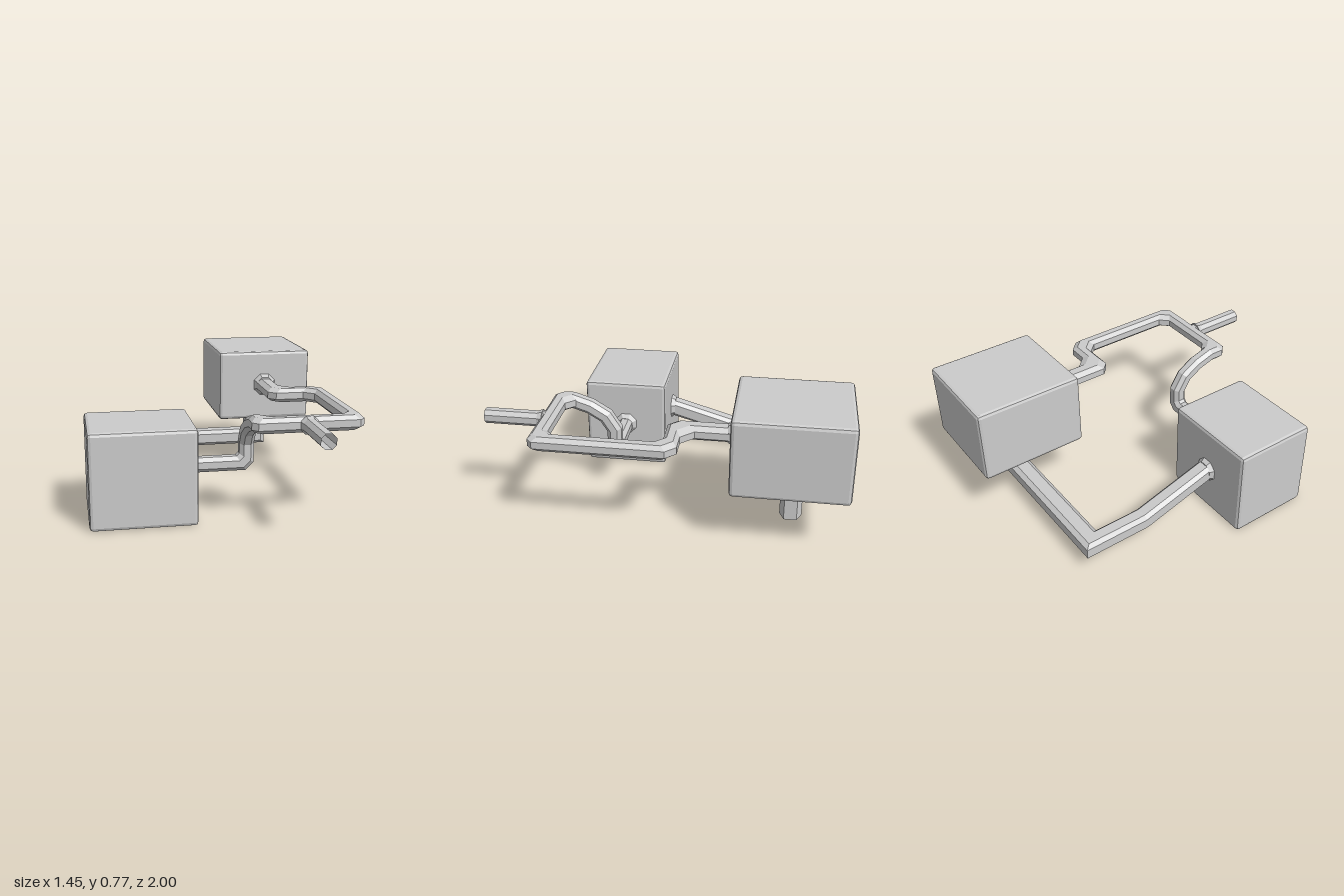
import * as THREE from 'three';
import { RoundedBoxGeometry } from 'three/addons/geometries/RoundedBoxGeometry.js';

const V = (x, y, z) => new THREE.Vector3(x, y, z);
const material = new THREE.MeshStandardMaterial({ color: 0xcccccc, flatShading: true });
const openMaterial = material.clone();
openMaterial.side = THREE.DoubleSide;

// Square section with cut corners, swept along straight runs. Each joint is a
// plane { p, n }; the section slides along each run until it meets the plane.
function sweep(joints, width, chamfer) {
  const h = width / 2, c = h - chamfer;
  const section = [[h, -c], [h, c], [c, h], [-c, h], [-h, c], [-h, -c], [-c, -h], [c, -h]];
  const dirs = joints.slice(1).map((j, i) => j.p.clone().sub(joints[i].p).normalize());
  const up = Math.abs(dirs[0].y) > 0.9 ? V(1, 0, 0) : V(0, 1, 0);
  const u = up.cross(dirs[0]).normalize(), v = dirs[0].clone().cross(u);
  let ring = section.map(([a, b]) => joints[0].p.clone().addScaledVector(u, a).addScaledVector(v, b));
  const positions = [], index = [];
  joints.forEach((j, i) => {
    if (i > 0) {
      const d = dirs[i - 1], n = j.n || d.clone().add(dirs[i] || d);
      ring = ring.map(q => q.clone().addScaledVector(d, j.p.clone().sub(q).dot(n) / d.dot(n)));
    }
    ring.forEach(q => positions.push(q.x, q.y, q.z));
    if (i === 0) return;
    for (let k = 0; k < 8; k++) {
      const a = (i - 1) * 8 + k, b = (i - 1) * 8 + (k + 1) % 8;
      index.push(a, b, b + 8, a, b + 8, a + 8);
    }
  });
  const g = new THREE.BufferGeometry();
  g.setAttribute('position', new THREE.Float32BufferAttribute(positions, 3));
  g.setIndex(index);
  g.computeVertexNormals();
  return g;
}

const joint = (x, y, z, n) => ({ p: V(x, y, z), n: n && V(...n) });

// Right-angle corner cut by `outer` on its outside and `inner` on its inside
function bend(corner, dIn, dOut, width, outer, inner) {
  const C = V(...corner), a = V(...dIn), b = V(...dOut);
  const m = (outer + inner) / 2, k = width + inner - outer;
  return [
    { p: C.clone().addScaledVector(a, -m), n: a.clone().multiplyScalar(width).addScaledVector(b, k) },
    { p: C.clone().addScaledVector(b, m), n: b.clone().multiplyScalar(width).addScaledVector(a, k) },
  ];
}

export function createModel() {
  const model = new THREE.Group();
  const add = (name, geometry, mat = material) => {
    const mesh = new THREE.Mesh(geometry, mat);
    mesh.name = name;
    model.add(mesh);
    return mesh;
  };

  // Bevelled box from its two extreme corners
  const block = (name, lo, hi) => {
    const size = hi.map((v, i) => v - lo[i]);
    add(name, new RoundedBoxGeometry(...size, 1, 0.02))
      .position.set(...hi.map((v, i) => (v + lo[i]) / 2));
  };
  block('lowerRoom', [-0.73, 0, 0.09], [-0.15, 0.535, 0.58]);
  block('upperRoom', [0.14, 0.335, -1], [0.72, 0.77, -0.375]);

  // Tapered eight-sided collar where a passage leaves a surface
  const collar = (name, at, dir, base, tip, length = 0.03) => {
    const k = 0.5 / Math.cos(Math.PI / 8);
    const g = new THREE.CylinderGeometry(tip * k, base * k, length, 8).rotateY(Math.PI / 8);
    g.translate(0, length / 2, 0);
    const mesh = add(name, g);
    mesh.position.set(...at);
    mesh.quaternion.setFromUnitVectors(V(0, 1, 0), V(...dir));
  };
  collar('lowerBackCollar', [-0.44, 0.27, 0.095], [0, 0, -1], 0.14, 0.105);
  collar('lowerSideCollar', [-0.155, 0.27, 0.335], [1, 0, 0], 0.135, 0.085);
  collar('upperBottomCollar', [0.44, 0.34, -0.7], [0, -1, 0], 0.155, 0.13);
  collar('upperFrontCollar', [0.43, 0.558, -0.38], [0, 0, 1], 0.14, 0.1, 0.035);
  collar('stubCollar', [0.415, 0.557, 0.675], [0, 0, 1], 0.1, 0.08);

  // Passage sloping down behind the lower room and rising into the upper room;
  // the tilted joints widen it after each turn
  add('backPassage', sweep([
    joint(-0.44, 0.272, 0.1),
    joint(-0.44, 0.267, 0.07),
    joint(-0.44, 0.14, -0.365),
    joint(-0.44, 0.14, -0.7, [0.12, 0, -0.1]),
    joint(0.44, 0.14, -0.7, [0.1, 0.13, 0]),
    joint(0.44, 0.35, -0.7),
  ], 0.1, 0.021));

  // Passage climbing from the lower room's side, looping forward and around
  const w = 0.083, y = 0.557;
  add('loopPassage', sweep([
    joint(-0.16, 0.27, 0.335),
    ...bend([0.155, 0.27, 0.335], [1, 0, 0], [0, 1, 0], w, 0.045, 0.015),
    joint(0.155, 0.39, 0.335),
    joint(0.155, 0.47, 0.385),
    joint(0.155, 0.525, 0.475),
    joint(0.155, y, 0.575),
    ...bend([0.155, y, 0.64], [0, 0, 1], [1, 0, 0], w, 0.03, 0.05),
    ...bend([0.68, y, 0.64], [1, 0, 0], [0, 0, -1], w, 0.03, 0.05),
    ...bend([0.68, y, -0.06], [0, 0, -1], [-1, 0, 0], w, 0.055, 0.055),
    joint(0.485, y, -0.06, [-0.08, 0, -0.13]),
    joint(0.43, y, -0.115, [1, 0, 1]),
    joint(0.43, y, -0.39),
  ], w, 0.022));

  // Open-ended stub at the front of the loop
  add('entryStub', sweep([joint(0.415, y, 0.66), joint(0.415, y, 1)], 0.08, 0.022), openMaterial);

  return model;
}
